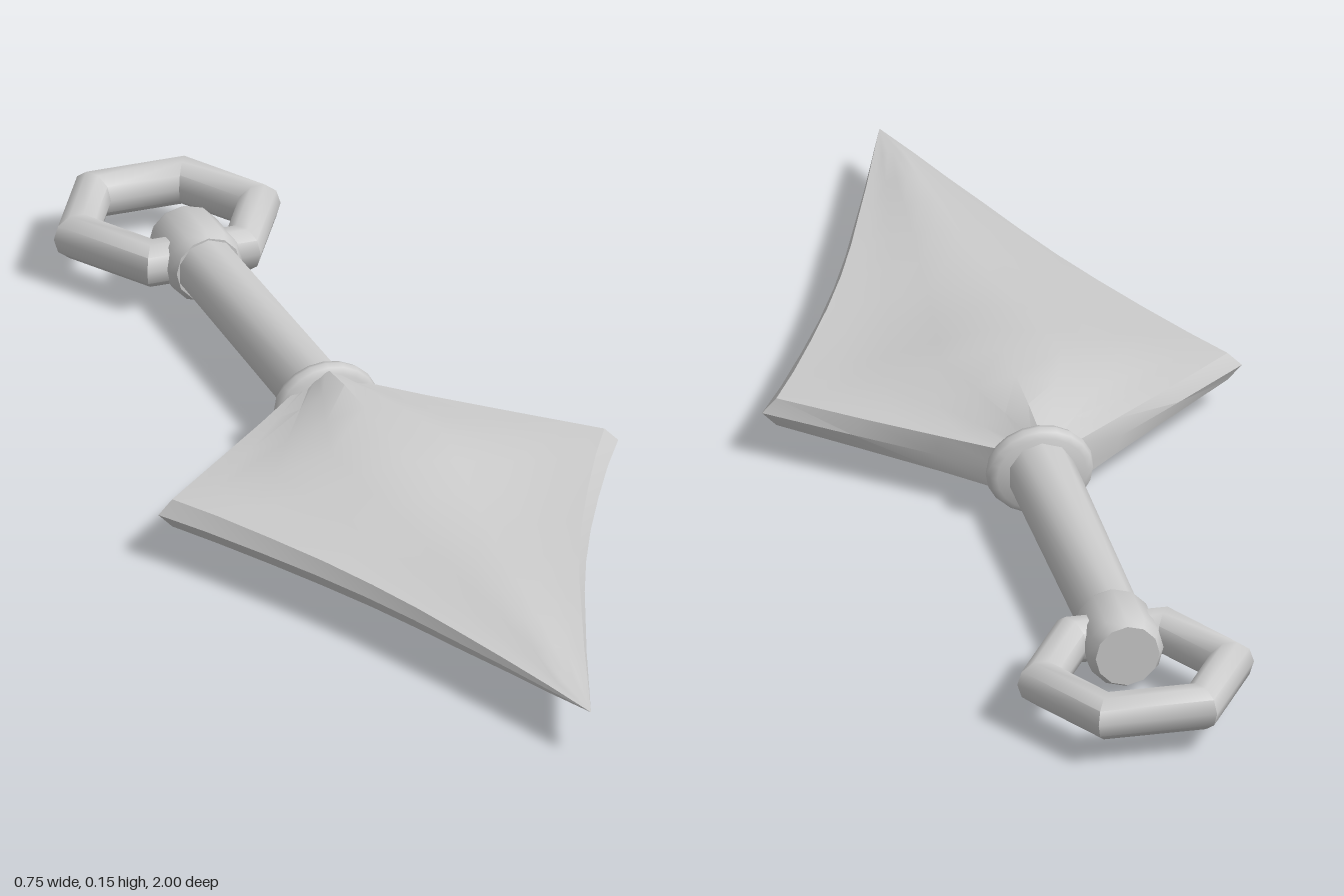
import * as THREE from 'three';
import { mergeVertices, toCreasedNormals } from 'three/addons/utils/BufferGeometryUtils.js';

const MID = 0.077; // height of the flat symmetry plane
const material = new THREE.MeshStandardMaterial({ color: 0xcccccc });

function add(group, name, geometry) {
  const mesh = new THREE.Mesh(geometry, material);
  mesh.name = name;
  mesh.position.y = MID;
  group.add(mesh);
  return mesh;
}

// Blade lofted along z from lens-shaped sections with a bevelled edge
function bladeGeometry() {
  // z, half width, half thickness on the spine, half thickness at the bevel
  const sections = [
    [-0.15, 0.05, 0.064, 0.035], [-0.07, 0.145, 0.071, 0.03], [0.02, 0.255, 0.073, 0.026],
    [0.12, 0.375, 0.07, 0.023], [0.2, 0.328, 0.062, 0.023], [0.3, 0.275, 0.048, 0.022],
    [0.4, 0.225, 0.037, 0.021], [0.5, 0.18, 0.033, 0.019], [0.6, 0.14, 0.03, 0.017],
    [0.7, 0.104, 0.026, 0.014], [0.8, 0.068, 0.02, 0.01], [0.9, 0.034, 0.012, 0.006], [1, 0, 0, 0],
  ];
  // fraction of width, blend from bevel thickness to spine thickness
  const quarter = [[0.94, 0], [0.75, 0.08], [0.5, 0.28], [0.25, 0.72]];
  const positions = [], index = [];
  let n = 0;
  for (const [z, w, h, e] of sections) {
    const side = quarter.map(([f, b]) => [f * w, e + (h - e) * b]);
    const top = [...side, [0, h], ...side.slice().reverse().map(([x, y]) => [-x, y])];
    const ring = [[w, 0], ...top, [-w, 0], ...top.slice().reverse().map(([x, y]) => [x, -y])];
    n = ring.length;
    ring.forEach(([x, y]) => positions.push(x, y, z));
  }
  for (let i = 0; i < sections.length - 1; i++) {
    for (let j = 0; j < n; j++) {
      const a = i * n + j, b = i * n + (j + 1) % n;
      index.push(a, b, b + n);
      if (i < sections.length - 2) index.push(a, b + n, a + n);
    }
  }
  const geometry = new THREE.BufferGeometry();
  geometry.setAttribute('position', new THREE.Float32BufferAttribute(positions, 3));
  geometry.setIndex(index);
  return toCreasedNormals(geometry, 0.6);
}

// Turned part: profile of [radius, z], ordered from back to front
function turned(profile, sides) {
  const points = profile.map(([r, z]) => new THREE.Vector2(r, z));
  const geometry = new THREE.LatheGeometry(points, sides).rotateX(Math.PI / 2);
  geometry.deleteAttribute('normal');
  geometry.deleteAttribute('uv');
  return toCreasedNormals(mergeVertices(geometry), 0.9);
}

export function createModel() {
  const group = new THREE.Group();
  group.name = 'throwingKnife';

  add(group, 'blade', bladeGeometry());

  // Rounded collar between blade and handle, slightly wider than tall
  const collar = add(group, 'collar', turned([
    [0, -0.168], [0.06, -0.168], [0.069, -0.162], [0.072, -0.15],
    [0.069, -0.138], [0.06, -0.132], [0, -0.132],
  ], 20));
  collar.scale.x = 1.17;

  add(group, 'handle', turned([[0, -0.7], [0.049, -0.7], [0.053, -0.14], [0, -0.14]], 10));

  // Pommel cap that holds the ring
  add(group, 'pommel', turned([
    [0, -0.783], [0.05, -0.783], [0.06, -0.765], [0.06, -0.675], [0.052, -0.66], [0, -0.66],
  ], 12));

  // Six-sided ring lying flat, through the pommel
  const ring = new THREE.TorusGeometry(0.148, 0.037, 10, 6).rotateX(Math.PI / 2);
  ring.deleteAttribute('uv');
  add(group, 'ring', toCreasedNormals(ring, 0.9)).position.z = -0.84;

  return group;
}
